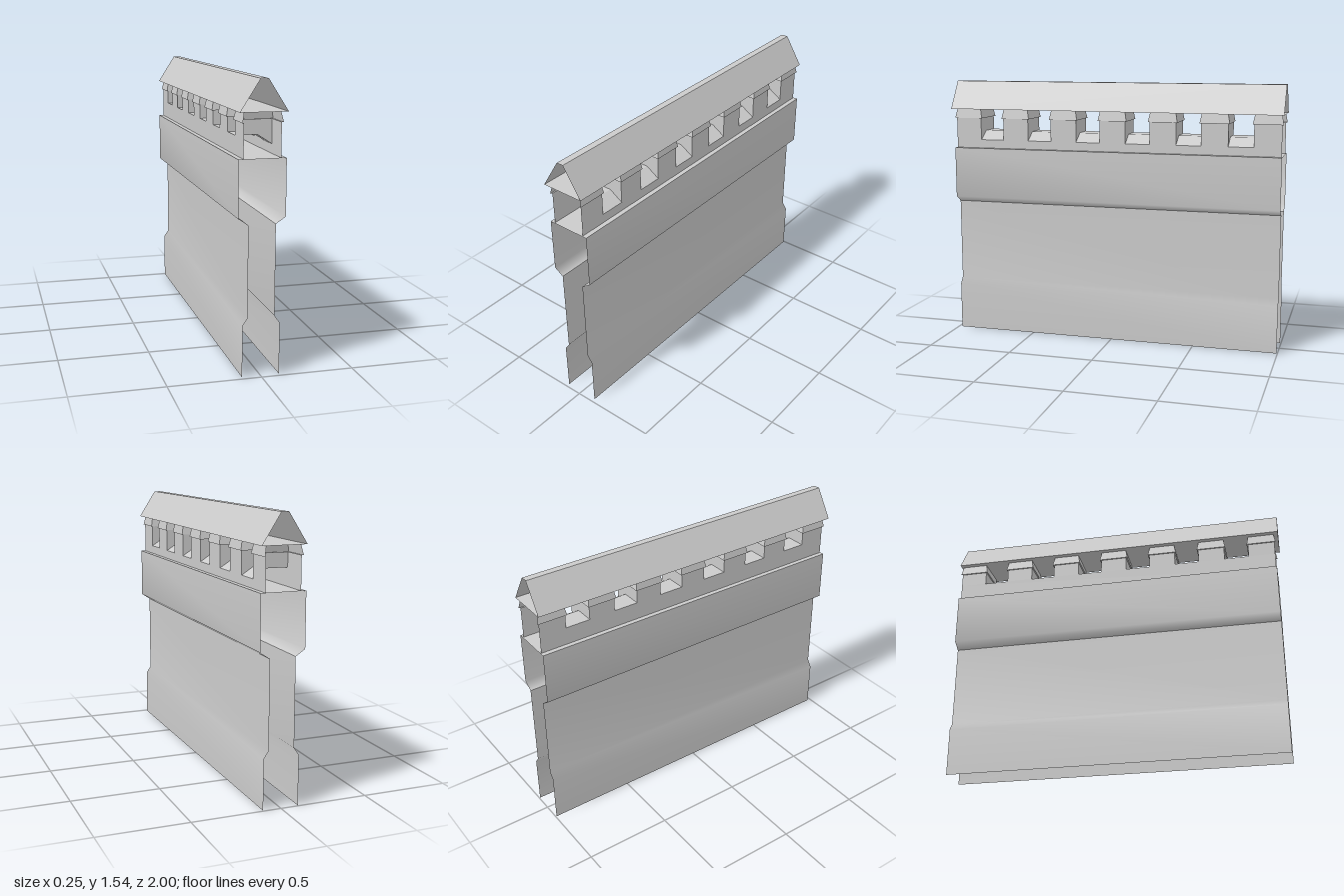
import * as THREE from 'three';

const material = new THREE.MeshStandardMaterial({ color: 0xcccccc, side: THREE.DoubleSide });

// Collects polygons (convex, any number of corners) into one sharp-edged mesh.
function facetMesh(name, faces) {
  const pos = [];
  for (const f of faces) {
    for (let i = 1; i < f.length - 1; i++) pos.push(...f[0], ...f[i], ...f[i + 1]);
  }
  const g = new THREE.BufferGeometry();
  g.setAttribute('position', new THREE.Float32BufferAttribute(pos, 3));
  g.computeVertexNormals();
  const mesh = new THREE.Mesh(g, material);
  mesh.name = name;
  return mesh;
}

// Sweeps an xy profile along z as a thin sheet with smooth normals.
function sheet(name, profile, z0, z1) {
  const pos = [], index = [];
  profile.forEach(([x, y], i) => {
    pos.push(x, y, z0, x, y, z1);
    if (i) {
      const a = 2 * i - 2;
      index.push(a, a + 2, a + 1, a + 1, a + 2, a + 3);
    }
  });
  const g = new THREE.BufferGeometry();
  g.setAttribute('position', new THREE.Float32BufferAttribute(pos, 3));
  g.setIndex(index);
  g.computeVertexNormals();
  const mesh = new THREE.Mesh(g, material);
  mesh.name = name;
  return mesh;
}

// Profile listed up the +x side; reversed on the -x side so it faces outward.
function sidePair(group, name, profile, z0, z1) {
  group.add(sheet(name + 'Left', profile, z0, z1));
  group.add(sheet(name + 'Right', profile.map(([x, y]) => [-x, y]).reverse(), z0, z1));
}

const W = 0.098, SILL = 1.24, SILL_LOW = 1.19, SHELF = 1.14;
const BODY = [-0.995, 0.98], PARAPET = [-0.99, 0.975];

// One merlon: hollow block with a slightly flared cap; outer ends stay open.
function merlon(z0, z1, openBack, openFront) {
  const faces = [];
  const sections = [[SILL, 0], [1.32, 0], [1.32, 0.008], [1.375, -0.003]];
  const ring = ([y, d]) => [
    [W + d, y, z1 + d], [W + d, y, z0 - d], [-W - d, y, z0 - d], [-W - d, y, z1 + d],
  ];
  for (let s = 0; s < sections.length - 1; s++) {
    const lo = ring(sections[s]), hi = ring(sections[s + 1]);
    for (let k = 0; k < 4; k++) {
      if ((k === 1 && openBack) || (k === 3 && openFront)) continue;
      const n = (k + 1) % 4;
      faces.push([lo[k], lo[n], hi[n], hi[k]]);
    }
  }
  // Face and cheeks below the flat sill, where the sill slopes down
  faces.push([[W, SILL_LOW, z1], [W, SILL_LOW, z0], [W, SILL, z0], [W, SILL, z1]]);
  if (!openFront) faces.push([[0.02, SILL, z1], [W, SILL_LOW, z1], [W, SILL, z1]]);
  if (!openBack) faces.push([[0.02, SILL, z0], [W, SILL, z0], [W, SILL_LOW, z0]]);
  return facetMesh('merlon', faces);
}

export function createModel() {
  const group = new THREE.Group();

  // Lower wall faces with a flared foot
  sidePair(group, 'lowerWall', [[0.1, 0], [0.1, 0.28], [0.072, 0.32], [0.072, 0.805]].reverse()
    .reverse(), ...BODY.slice().reverse());

  // Projecting band with a sloped underside, and the walkway shelf on top
  sidePair(group, 'band', [[0.072, 0.805], [0.125, 0.84], [0.125, SHELF]], BODY[1], BODY[0]);
  group.add(sheet('shelf', [[0.125, SHELF], [-0.125, SHELF]], BODY[1], BODY[0]));

  // Parapet faces up to the sills
  group.add(sheet('parapetLeft', [[W, SHELF], [W, SILL_LOW]], PARAPET[1], PARAPET[0]));
  group.add(sheet('parapetRight', [[-W, SILL], [-W, SHELF]], PARAPET[1], PARAPET[0]));

  // Merlons, with a sill in each gap
  const count = 7, width = 0.157;
  const pitch = (PARAPET[1] - PARAPET[0] - width) / (count - 1);
  for (let i = 0; i < count; i++) {
    const z0 = PARAPET[0] + i * pitch, z1 = z0 + width;
    group.add(merlon(z0, z1, i === 0, i === count - 1));
    if (i < count - 1) {
      const a = z1, b = z0 + pitch;
      group.add(facetMesh('sill', [
        [[-W, SILL, b], [0.02, SILL, b], [0.02, SILL, a], [-W, SILL, a]],
        [[0.02, SILL, b], [W, SILL_LOW, b], [W, SILL_LOW, a], [0.02, SILL, a]],
      ]));
    }
  }

  // Roof: two slopes, a narrow flat ridge and a ceiling, open at both ends
  const roof = [[0.125, 1.375], [0.02, 1.54], [-0.02, 1.54], [-0.125, 1.375]];
  group.add(facetMesh('roof', roof.map(([x, y], i) => {
    const [u, v] = roof[(i + 1) % 4];
    return [[x, y, 1], [x, y, -1], [u, v, -1], [u, v, 1]];
  })));

  return group;
}
